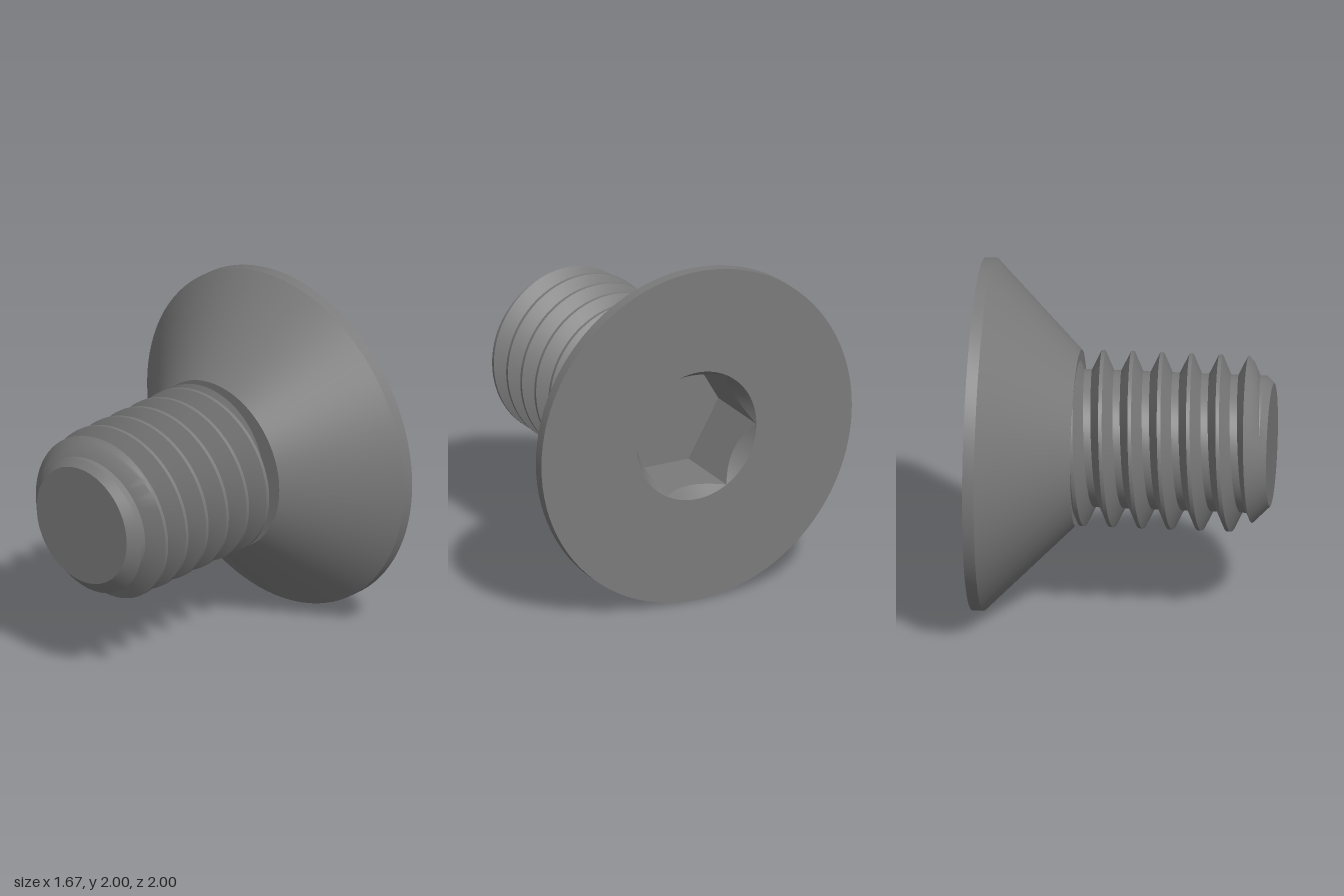
import * as THREE from 'three';
import { toCreasedNormals } from 'three/addons/utils/BufferGeometryUtils.js';

const SEGMENTS = 96, AXIS_Y = 1;
const TIP = -0.833, NECK = 0.267, FACE = 0.833;      // stations along x
const CREST = 0.5, ROOT = 0.39, PITCH = 1 / 6;       // thread
const SOCKET_R = 0.385, FLAT = 0.333, SOCKET_DEPTH = 0.45, BEVEL_DEPTH = 0.09;

// Sweeps a profile of [x, radius] points round the x axis; the profile may vary with the angle.
function sweep(profile) {
  const position = [];
  const ring = [];
  for (let i = 0; i <= SEGMENTS; i++) {
    const a = (i / SEGMENTS) * Math.PI * 2;
    ring.push(profile(a).map(([x, r]) =>
      new THREE.Vector3(x, AXIS_Y + r * Math.cos(a), r * Math.sin(a))));
  }
  const u = new THREE.Vector3(), v = new THREE.Vector3();
  const triangle = (a, b, c) => {
    if (u.subVectors(b, a).cross(v.subVectors(c, a)).length() < 1e-9) return;
    for (const p of [a, b, c]) position.push(p.x, p.y, p.z);
  };
  for (let i = 0; i < SEGMENTS; i++) {
    for (let j = 0; j < ring[i].length - 1; j++) {
      const a = ring[i][j], b = ring[i + 1][j], c = ring[i + 1][j + 1], d = ring[i][j + 1];
      triangle(a, b, c);
      triangle(a, c, d);
    }
  }
  const geometry = new THREE.BufferGeometry();
  geometry.setAttribute('position', new THREE.Float32BufferAttribute(position, 3));
  return toCreasedNormals(geometry, 0.4);
}

// Helical thread, cut at the tip by a 45 degree cone
function threadProfile(a) {
  const start = -0.035 + (PITCH * a) / (Math.PI * 2);
  const corners = [];
  for (let k = -7; k <= 3; k++) {
    const c = start + k * PITCH;
    corners.push([c - 0.0625, ROOT], [c - 0.0104, CREST], [c + 0.0104, CREST], [c + 0.0625, ROOT]);
  }
  const cone = (x) => 0.35 + x - TIP;
  const points = [];
  for (let i = 0; i < corners.length - 1; i++) {
    const [x0, r0] = corners[i], [x1, r1] = corners[i + 1];
    const at = (x) => {
      const cx = THREE.MathUtils.clamp(x, TIP, NECK);
      const t = THREE.MathUtils.clamp((cx - x0) / (x1 - x0), 0, 1);
      return [cx, Math.min(r0 + (r1 - r0) * t, cone(cx))];
    };
    // extra point where the thread crosses the cone
    const d0 = r0 - cone(x0), d1 = r1 - cone(x1);
    const t = d0 * d1 < 0 ? d0 / (d0 - d1) : 0.5;
    // segments wholly outside the shank collapse onto its ends
    if (x1 <= TIP) points.push([TIP, 0.35], [TIP, 0.35], [TIP, 0.35]);
    else if (x0 >= NECK) {
      const last = points[points.length - 1];
      points.push(last, last, last);
    } else points.push(at(x0), at(x0 + (x1 - x0) * t), at(x1));
  }
  return points;
}

// Hexagonal socket with a conical bevel at its mouth
function socketProfile(a) {
  const sector = Math.PI / 3;
  const offset = a - Math.round(a / sector) * sector;
  const hex = Math.min(FLAT / Math.cos(offset), SOCKET_R);
  const bevel = BEVEL_DEPTH * (SOCKET_R - hex) / (SOCKET_R - FLAT);
  return [[FACE, SOCKET_R], [FACE - bevel, hex], [FACE - SOCKET_DEPTH, hex], [FACE - SOCKET_DEPTH, 0]];
}

export function createModel() {
  const steel = new THREE.MeshStandardMaterial({ color: 0x7a7a7a });
  steel.name = 'darkSteel';
  const group = new THREE.Group();
  group.name = 'countersunkScrew';

  const add = (name, profile) => {
    const mesh = new THREE.Mesh(sweep(profile), steel);
    mesh.name = name;
    group.add(mesh);
  };
  add('threadedShank', threadProfile);
  add('tipFace', () => [[TIP, 0], [TIP, 0.35]]);
  add('head', () => [[NECK, 0.37], [NECK, CREST], [0.767, 1], [FACE, 1], [FACE, SOCKET_R]]);
  add('hexSocket', socketProfile);
  return group;
}
